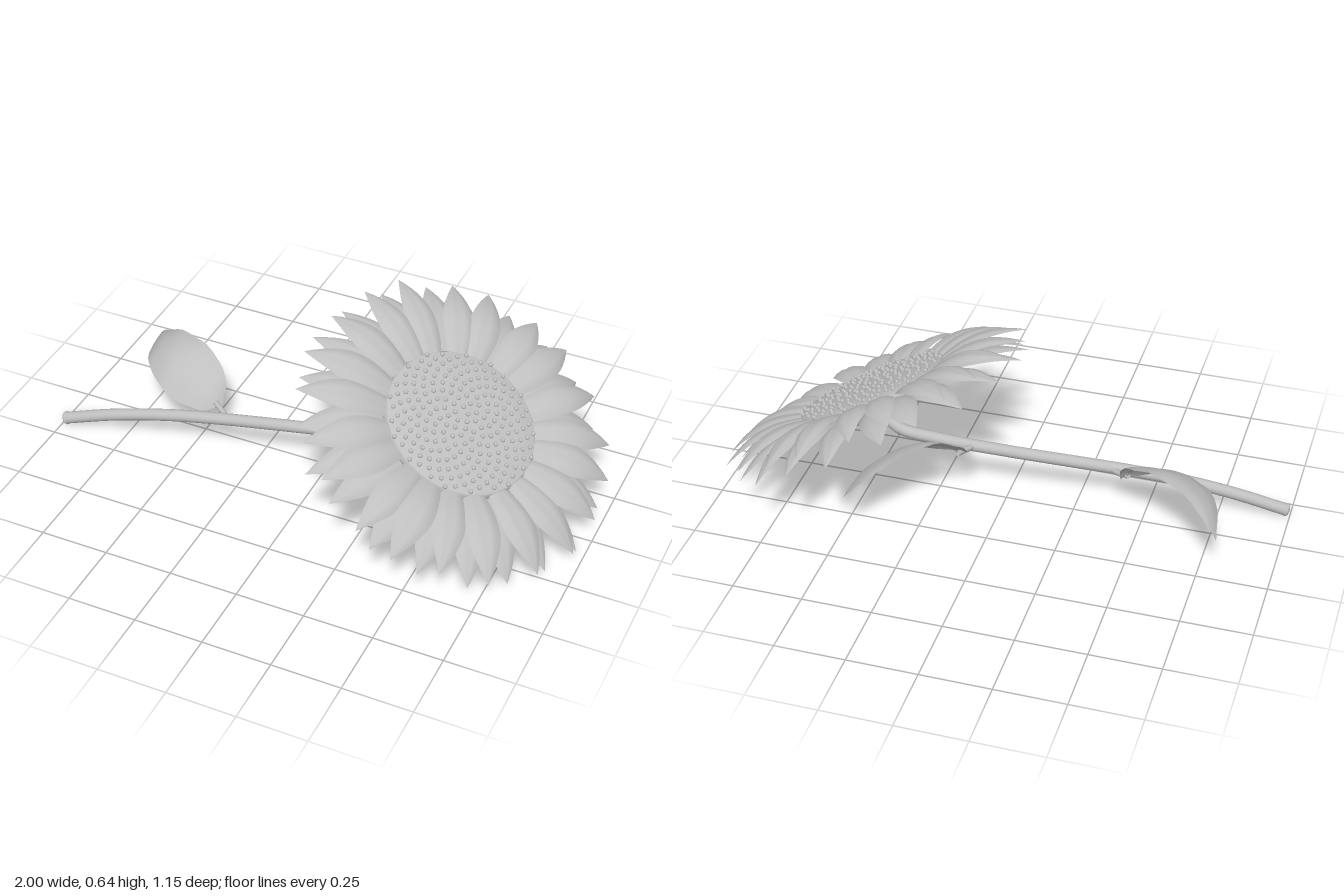
import * as THREE from 'three';
import { mergeGeometries } from 'three/addons/utils/BufferGeometryUtils.js';

const V = (x, y, z) => new THREE.Vector3(x, y, z);
const curve = pts => new THREE.CatmullRomCurve3(pts.map(p => V(...p)));

// seeded random numbers
let seed = 7;
const rnd = () => (seed = (seed * 16807) % 2147483647) / 2147483647;
const vary = a => (rnd() * 2 - 1) * a;

// smooth surface from a rule fn(u, v) -> Vector3, with u and v in 0..1
function surface(nu, nv, fn) {
  const pos = [], idx = [];
  for (let i = 0; i <= nu; i++)
    for (let j = 0; j <= nv; j++) pos.push(...fn(i / nu, j / nv).toArray());
  for (let i = 0; i < nu; i++)
    for (let j = 0; j < nv; j++) {
      const a = i * (nv + 1) + j, b = a + nv + 1;
      idx.push(a, a + 1, b, a + 1, b + 1, b);
    }
  const g = new THREE.BufferGeometry();
  g.setAttribute('position', new THREE.Float32BufferAttribute(pos, 3));
  g.setIndex(idx);
  g.computeVertexNormals();
  return g;
}

// arched, pointed petal with a shallow centre crease, running outwards along +x
function petal(r0, r1, halfWidth, y0, rise, droop) {
  return surface(12, 8, (u, v) => {
    const s = v * 2 - 1, t = Math.max(0, (u - 0.5) / 0.5);
    const w = halfWidth * (0.55 + 0.45 * Math.sin(Math.min(1, u / 0.5) * Math.PI / 2)) * (1 - Math.pow(t, 1.6));
    const y = y0 + rise * Math.sin(u * Math.PI * 0.8) - droop * u * u
      - 0.3 * w * s * s - 0.08 * w * Math.exp(-s * s * 20);
    return V(r0 + (r1 - r0) * u, y, s * w);
  });
}

// ring of petals with small variations
function petalRing(count, offset, r0, r1, width, y0, rise, droop) {
  const list = [];
  for (let i = 0; i < count; i++) {
    const g = petal(r0, r1 + vary(0.01), width * (1 + vary(0.08)), y0, rise + vary(0.006), droop + vary(0.012));
    g.rotateX(vary(0.05));
    g.rotateY((i + offset) / count * Math.PI * 2 + vary(0.04));
    list.push(g);
  }
  return mergeGeometries(list);
}

// leaf blade lofted between its two edges, with a bulge and a wavy rim
function leaf(edgeA, edgeB, bulge) {
  const a = curve(edgeA), b = curve(edgeB);
  return surface(18, 8, (u, v) => {
    const p = a.getPoint(u).lerp(b.getPoint(u), v);
    const s = v * 2 - 1;
    p.y += bulge * Math.sin(Math.PI * u) * (1 - s * s) - 0.008 * Math.exp(-s * s * 30) * (1 - u);
    p.y += 0.004 * s * s * Math.sin(u * 28);
    return p;
  });
}

export function createModel() {
  const model = new THREE.Group();
  const grey = new THREE.MeshStandardMaterial({ color: 0xbfbfbf, side: THREE.DoubleSide });
  grey.name = 'plain grey';
  const add = (parent, name, geo) => {
    const m = new THREE.Mesh(geo, grey);
    m.name = name;
    parent.add(m);
    return m;
  };

  // stem with a rounded cut end
  const path = curve([[-0.985, 0.026, 0.182], [-0.8, 0.08, 0.153], [-0.6, 0.122, 0.122], [-0.4, 0.148, 0.09],
    [0, 0.186, 0.03], [0.25, 0.215, -0.005], [0.4, 0.242, -0.015], [0.47, 0.3, 0.0]]);
  add(model, 'stem', new THREE.TubeGeometry(path, 48, 0.022, 14));
  const cap = add(model, 'stemEnd', new THREE.SphereGeometry(0.025, 14, 10));
  cap.scale.z = 0.5;
  cap.position.copy(path.getPoint(0));
  cap.quaternion.setFromUnitVectors(V(0, 0, 1), path.getTangent(0));

  // leaves and their stalks
  add(model, 'outerLeaf', leaf(
    [[-0.415, 0.17, 0.01], [-0.425, 0.23, -0.03], [-0.49, 0.282, -0.085], [-0.6, 0.3, -0.14], [-0.72, 0.26, -0.2], [-0.815, 0.178, -0.265]],
    [[-0.415, 0.155, 0.03], [-0.48, 0.15, 0.075], [-0.6, 0.17, 0.075], [-0.69, 0.2, 0.025], [-0.775, 0.2, -0.08], [-0.815, 0.178, -0.265]], 0.025));
  add(model, 'outerStalk', new THREE.TubeGeometry(
    curve([[-0.36, 0.148, 0.085], [-0.39, 0.153, 0.06], [-0.44, 0.168, 0.03]]), 8, 0.011, 8));
  add(model, 'innerLeaf', leaf(
    [[0.13, 0.21, -0.05], [0.112, 0.25, -0.1], [0.145, 0.31, -0.16], [0.22, 0.335, -0.22], [0.33, 0.3, -0.32], [0.465, 0.195, -0.41]],
    [[0.16, 0.2, -0.045], [0.26, 0.195, -0.04], [0.36, 0.19, -0.08], [0.43, 0.18, -0.14], [0.475, 0.17, -0.25], [0.465, 0.195, -0.41]], 0.025));
  add(model, 'innerStalk', new THREE.TubeGeometry(
    curve([[0.12, 0.2, 0.015], [0.135, 0.205, -0.02], [0.16, 0.212, -0.07]]), 8, 0.011, 8));

  // tilted flower head, with its axis along local y
  const head = new THREE.Group();
  head.name = 'flowerHead';
  head.position.set(0.508, 0.38, 0.018);
  head.quaternion.setFromUnitVectors(V(0, 1, 0), V(0.46, 0.86, 0.2).normalize());
  model.add(head);

  // domed seed disc on a stepped base
  const profile = [[0, -0.1], [0.13, -0.1], [0.155, -0.09], [0.165, -0.06], [0.26, -0.055], [0.28, -0.045],
    [0.283, -0.015], [0.272, 0], [0.2, 0.008], [0.1, 0.013], [0, 0.015]];
  add(head, 'seedDisc', new THREE.LatheGeometry(profile.map(p => new THREE.Vector2(...p)), 48));

  // seeds in a spiral
  const seeds = [], total = 215;
  for (let i = 0; i < total; i++) {
    const r = 0.272 * Math.sqrt((i + 0.5) / total), a = i * 2.39996;
    const g = new THREE.SphereGeometry(0.0085, 8, 6);
    g.translate(r * Math.cos(a), 0.017 - 0.2 * r * r, r * Math.sin(a));
    seeds.push(g);
  }
  add(head, 'seeds', mergeGeometries(seeds));

  // two layers of petals
  add(head, 'upperPetals', petalRing(21, 0, 0.25, 0.583, 0.061, -0.01, 0.047, 0.062));
  add(head, 'lowerPetals', petalRing(21, 0.5, 0.25, 0.578, 0.06, -0.03, 0.034, 0.085));

  return model;
}
